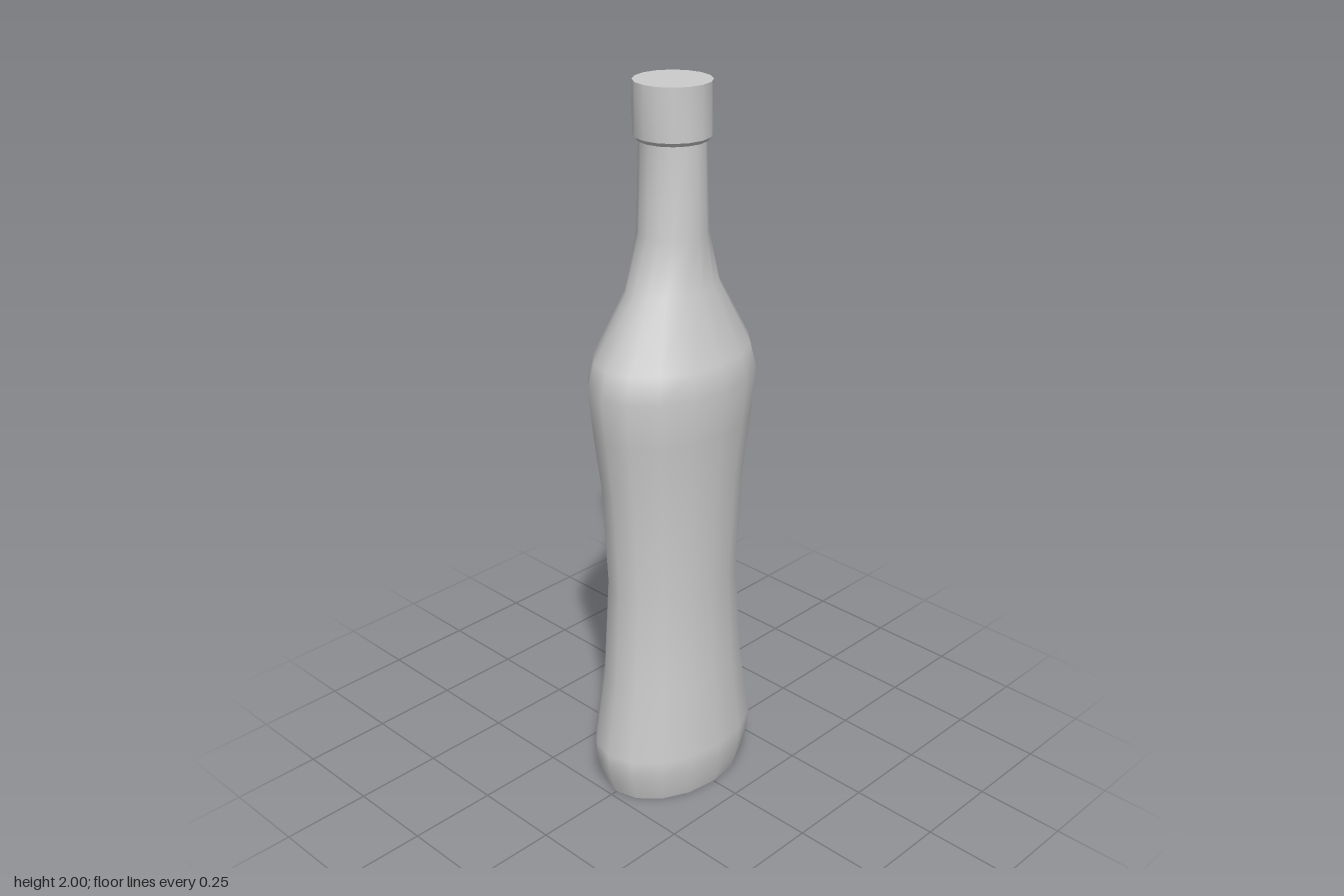
import * as THREE from 'three';
import { mergeVertices, toCreasedNormals } from 'three/addons/utils/BufferGeometryUtils.js';

const SIDES = 16;
const material = new THREE.MeshStandardMaterial({ color: 0xcccccc });

// Oval cross-sections from base to neck: [height, half width, half depth]
const SECTIONS = [
  [0, 0.23, 0.165],
  [0.035, 0.242, 0.174],
  [0.09, 0.256, 0.183],
  [0.14, 0.258, 0.185],
  [0.36, 0.224, 0.161],
  [0.64, 0.207, 0.148],
  [0.94, 0.223, 0.16],
  [1.1, 0.245, 0.175],
  [1.23, 0.258, 0.185],
  [1.3, 0.239, 0.171],
  [1.47, 0.143, 0.102],
  [1.62, 0.092, 0.092],
  [1.87, 0.085, 0.085],
];

function addPart(group, name, geometry) {
  const mesh = new THREE.Mesh(geometry, material);
  mesh.name = name;
  group.add(mesh);
  return mesh;
}

// Open unit tube whose rings are moved onto the sections
function loftGeometry(sections) {
  const rows = sections.length - 1;
  let geometry = new THREE.CylinderGeometry(1, 1, 1, SIDES, rows, true);
  const pos = geometry.attributes.position;
  for (let i = 0; i < pos.count; i++) {
    const [y, rx, rz] = sections[Math.round((pos.getY(i) + 0.5) * rows)];
    pos.setXYZ(i, pos.getX(i) * rx, y, pos.getZ(i) * rz);
  }
  // Weld the seam so the shading is smooth all round
  geometry.deleteAttribute('uv');
  geometry.deleteAttribute('normal');
  geometry = mergeVertices(geometry);
  geometry.computeVertexNormals();
  return geometry;
}

export function createModel() {
  const bottle = new THREE.Group();
  bottle.name = 'bottle';

  // Waisted oval body running up into the round neck
  addPart(bottle, 'body', loftGeometry(SECTIONS));

  // Flat base
  const base = new THREE.CircleGeometry(1, SIDES);
  base.rotateX(Math.PI / 2);
  base.scale(SECTIONS[0][1], 1, SECTIONS[0][2]);
  addPart(bottle, 'base', base);

  // Cap with a flat top and a small bevel under its rim
  const capProfile = [[0, 1.855], [0.092, 1.855], [0.1, 1.865], [0.1, 2], [0, 2]]
    .map(([r, y]) => new THREE.Vector2(r, y));
  const cap = new THREE.LatheGeometry(capProfile, SIDES);
  addPart(bottle, 'cap', toCreasedNormals(cap, Math.PI / 6));

  return bottle;
}
